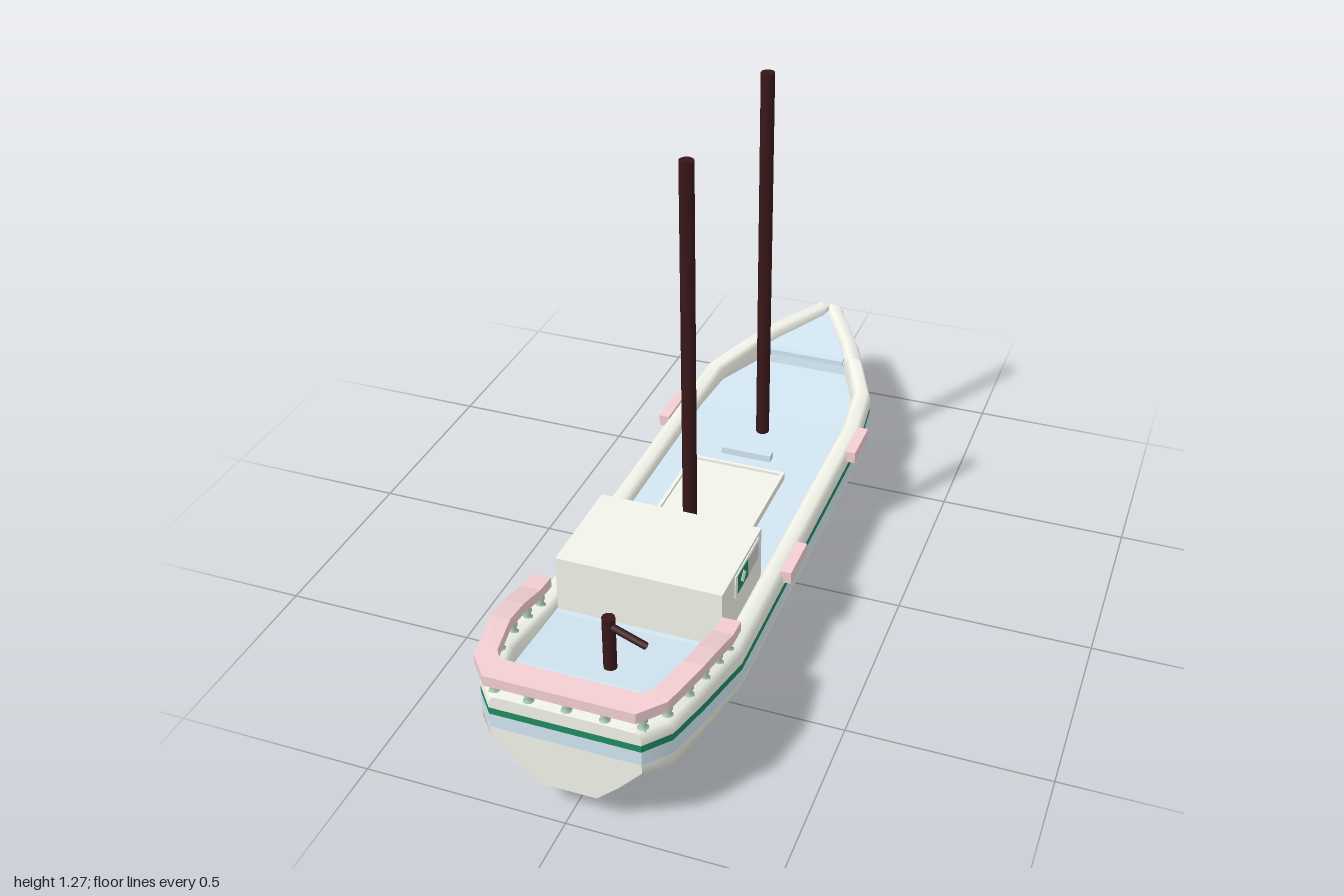
import * as THREE from 'three';

const V = (x, y, z) => new THREE.Vector3(x, y, z);
const material = (color) => new THREE.MeshStandardMaterial({ color, side: THREE.DoubleSide });

// Hull stations from stern to bow:
// z, z at keel, keelY, keelHalf, bilgeY, bilgeHalf, chineY, halfWidth, stripeY, sheerY
const STATIONS = [
  [0.98, 0.98, 0.08, 0.07, 0.13, 0.125, 0.19, 0.18, 0.25, 0.30],
  [0.92, 0.92, 0.08, 0.07, 0.12, 0.16, 0.18, 0.23, 0.25, 0.30],
  [0.80, 0.80, 0.075, 0.07, 0.125, 0.19, 0.175, 0.255, 0.24, 0.295],
  [0.57, 0.57, 0.0, 0.07, 0.078, 0.203, 0.125, 0.265, 0.175, 0.24],
  [-0.43, -0.43, 0.0, 0.07, 0.078, 0.203, 0.125, 0.262, 0.175, 0.24],
  [-0.58, -0.57, 0.035, 0.06, 0.10, 0.18, 0.14, 0.25, 0.2, 0.262],
  [-0.80, -0.74, 0.1, 0.035, 0.135, 0.09, 0.18, 0.15, 0.235, 0.29],
  [-1.0, -0.86, 0.12, 0.006, 0.165, 0.008, 0.22, 0.04, 0.258, 0.29],
];
// Deck height along the boat: z, y
const DECK = [[0.98, 0.25], [0.8, 0.25], [0.57, 0.215], [-0.43, 0.215], [-0.72, 0.22],
  [-0.725, 0.258], [-1, 0.27]];

function sample(table, z) {
  let i = 0;
  while (i < table.length - 2 && z < table[i + 1][0]) i++;
  const t = (table[i][0] - z) / (table[i][0] - table[i + 1][0]);
  return table[i].map((v, k) => THREE.MathUtils.lerp(v, table[i + 1][k], t));
}

// Surface through rows of points
function loft(rows) {
  const n = rows[0].length, index = [];
  for (let r = 0; r < rows.length - 1; r++) {
    for (let c = 0; c < n - 1; c++) {
      const a = r * n + c;
      index.push(a, a + n, a + 1, a + 1, a + n, a + n + 1);
    }
  }
  const g = new THREE.BufferGeometry().setFromPoints(rows.flat());
  g.setIndex(index);
  g.computeVertexNormals();
  return g;
}
const flat = (geometry) => {
  const g = geometry.toNonIndexed();
  g.computeVertexNormals();
  return g;
};
const mirror = (p) => V(-p.x, p.y, p.z);

// Half cross-section at z, grouped in bands
function section(z) {
  const [, zl, ky, kw, by, bw, cy, w, sy, top] = sample(STATIONS, z);
  const deck = sample(DECK, z)[1];
  const at = (x, y) => V(Math.max(x, 0), y,
    THREE.MathUtils.lerp(zl, z, THREE.MathUtils.clamp((y - 0.165) / 0.09, 0, 1)));
  const inner = Math.max(w - 0.053, 0);
  const blue = Math.max(cy, sy - 0.037);
  return {
    bottom: [at(kw, ky), at(bw, by), at(w, cy), at(w, blue)],
    blueBand: [at(w, blue), at(w, sy)],
    greenStripe: [at(w, sy), at(w, sy + 0.018)],
    bulwark: [at(w, sy + 0.018), at(w, top - 0.018), at(w - 0.01, top), at(w - 0.04, top),
      at(w - 0.051, top - 0.012), V(inner, deck, z)],
    deck: [V(inner, deck, z), V(0, deck, z)],
  };
}

export function createModel() {
  const boat = new THREE.Group();
  const white = material(0xf2f4ea), blue = material(0xd2e6f2), green = material(0x1f8a62),
    pink = material(0xf3cfd3), wood = material(0x381719), paleGreen = material(0xa9cdb4);
  const add = (name, geometry, mat, x = 0, y = 0, z = 0) => {
    const m = new THREE.Mesh(geometry, mat);
    m.name = name;
    m.position.set(x, y, z);
    boat.add(m);
    return m;
  };
  const box = (name, mat, x0, x1, y0, y1, z0, z1) =>
    add(name, new THREE.BoxGeometry(x1 - x0, y1 - y0, z1 - z0), mat,
      (x0 + x1) / 2, (y0 + y1) / 2, (z0 + z1) / 2);

  // Hull bands, deck and transom
  const zs = [...new Set([...STATIONS, ...DECK].map((s) => s[0]))].concat(-0.965).sort((a, b) => b - a);
  const sections = zs.map(section);
  const mats = { bottom: white, blueBand: blue, greenStripe: green, bulwark: white, deck: blue };
  for (const [name, mat] of Object.entries(mats)) {
    const half = sections.map((s) => s[name]);
    if (name === 'deck') {
      add('deck', flat(loft(half.map((r) => [r[0], r[1], mirror(r[0])]))), mat);
      continue;
    }
    if (name === 'bottom') {
      add('hullBottom', loft(half.map((r) => [...r.map(mirror).reverse(), ...r])), mat);
    } else {
      add(name + 'Left', loft(half), mat);
      add(name + 'Right', loft(half.map((r) => r.map(mirror))), mat);
    }
    const edge = name === 'bulwark' ? half[0].slice(0, 3) : half[0];
    add(name + 'Transom', loft(edge.map((p) => [p, mirror(p)])), mat);
  }
  const stem = sections[sections.length - 1];
  const stemEdge = [...stem.bottom, ...stem.blueBand, ...stem.bulwark.slice(0, 3)];
  add('stem', loft(stemEdge.map((p) => [mirror(p), p])), white);
  box('sternCoaming', white, -0.165, 0.165, 0.24, 0.3, 0.935, 0.979);
  box('bowDeckLip', blue, -0.125, 0.125, 0.25, 0.264, -0.745, -0.718);

  // Masts
  for (const z of [0.21, -0.36]) {
    const foot = 0.205;
    add('mast', new THREE.CylinderGeometry(0.018, 0.018, 1.275 - foot, 10), wood, 0, (1.275 + foot) / 2, z);
  }

  // Cabin with a window panel on each side
  box('cabin', white, -0.21, 0.21, 0.2, 0.365, 0.275, 0.555);
  for (const s of [-1, 1]) {
    const panel = (name, mat, out, h, d, z) =>
      add(name, new THREE.BoxGeometry(0.004, h, d), mat, s * (0.21 + out), 0.325, z);
    panel('windowFrame', white, 0.001, 0.062, 0.17, 0.385);
    panel('windowPane', material(0xcccccc), 0.002, 0.05, 0.07, 0.343);
    panel('windowShutter', green, 0.002, 0.05, 0.075, 0.418);
    panel('windowDiamond', white, 0.003, 0.026, 0.026, 0.418).rotation.x = Math.PI / 4;
  }

  // Low hatch with a raised rim, and the board ahead of it
  box('hatchLid', white, -0.125, 0.125, 0.205, 0.229, -0.148, 0.118);
  for (const s of [-1, 1]) {
    const x = s * 0.127, z = -0.015 + s * 0.133;
    box('hatchSide', white, x - 0.005, x + 0.005, 0.205, 0.236, -0.153, 0.123);
    box('hatchEnd', white, -0.132, 0.132, 0.205, 0.236, z - 0.005, z + 0.005);
  }
  box('deckBoard', blue, -0.07, 0.07, 0.205, 0.234, -0.24, -0.215);

  // Fenders on both sides
  for (const s of [-1, 1]) for (const z of [0.2, -0.365]) {
    add('fender', new THREE.BoxGeometry(0.028, 0.032, 0.13), pink, s * 0.271, 0.224, z);
  }

  // Stern rail: outer x, z, inner x, z, top y
  const half = [[0.262, 0.572, 0.215, 0.572, 0.318], [0.264, 0.63, 0.215, 0.63, 0.324],
    [0.262, 0.72, 0.213, 0.72, 0.352], [0.257, 0.8, 0.208, 0.8, 0.368],
    [0.228, 0.94, 0.185, 0.91, 0.374], [0.178, 1.0, 0.168, 0.935, 0.374]];
  const rail = [...half, ...half.map(([a, b, c, d, y]) => [-a, b, -c, d, y]).reverse()];
  const railRows = rail.map(([ox, oz, ix, iz, y]) => [V(ox, y, oz), V(ix, y, iz),
    V(ix, y - 0.027, iz), V(ox, y - 0.027, oz), V(ox, y, oz)]);
  add('sternRail', flat(loft(railRows)), pink);
  for (const r of [railRows[0], railRows[railRows.length - 1]]) {
    add('railEnd', loft([[r[0], r[1]], [r[3], r[2]]]), pink);
  }

  // Turned balusters between bulwark and rail
  const turned = [[0.014, 0], [0.014, 0.1], [0.006, 0.2], [0.012, 0.45], [0.006, 0.75], [0.012, 0.88], [0.012, 1]];
  const balusterGeometry = new THREE.LatheGeometry(turned.map(([r, y]) => new THREE.Vector2(r, y)), 8);
  const baluster = (x, z, top) => {
    const base = sample(STATIONS, z)[9] - 0.006;
    add('baluster', balusterGeometry, paleGreen, x, base, z).scale.y = top - base;
  };
  for (const s of [-1, 1]) {
    for (const [x, z, top] of [[0.238, 0.59, 0.295], [0.238, 0.66, 0.31], [0.235, 0.74, 0.332],
      [0.228, 0.82, 0.345], [0.21, 0.9, 0.348], [0.175, 0.955, 0.35], [0.09, 0.962, 0.35]]) {
      baluster(s * x, z, top);
    }
  }
  baluster(0, 0.962, 0.35);

  // Steering post and tiller
  add('steeringPost', new THREE.CylinderGeometry(0.016, 0.016, 0.145, 10), wood, 0.005, 0.3125, 0.737);
  const tiller = new THREE.LineCurve3(V(0.005, 0.362, 0.737), V(0.11, 0.362, 0.775));
  add('tiller', new THREE.TubeGeometry(tiller, 1, 0.009, 8), wood);

  return boat;
}
